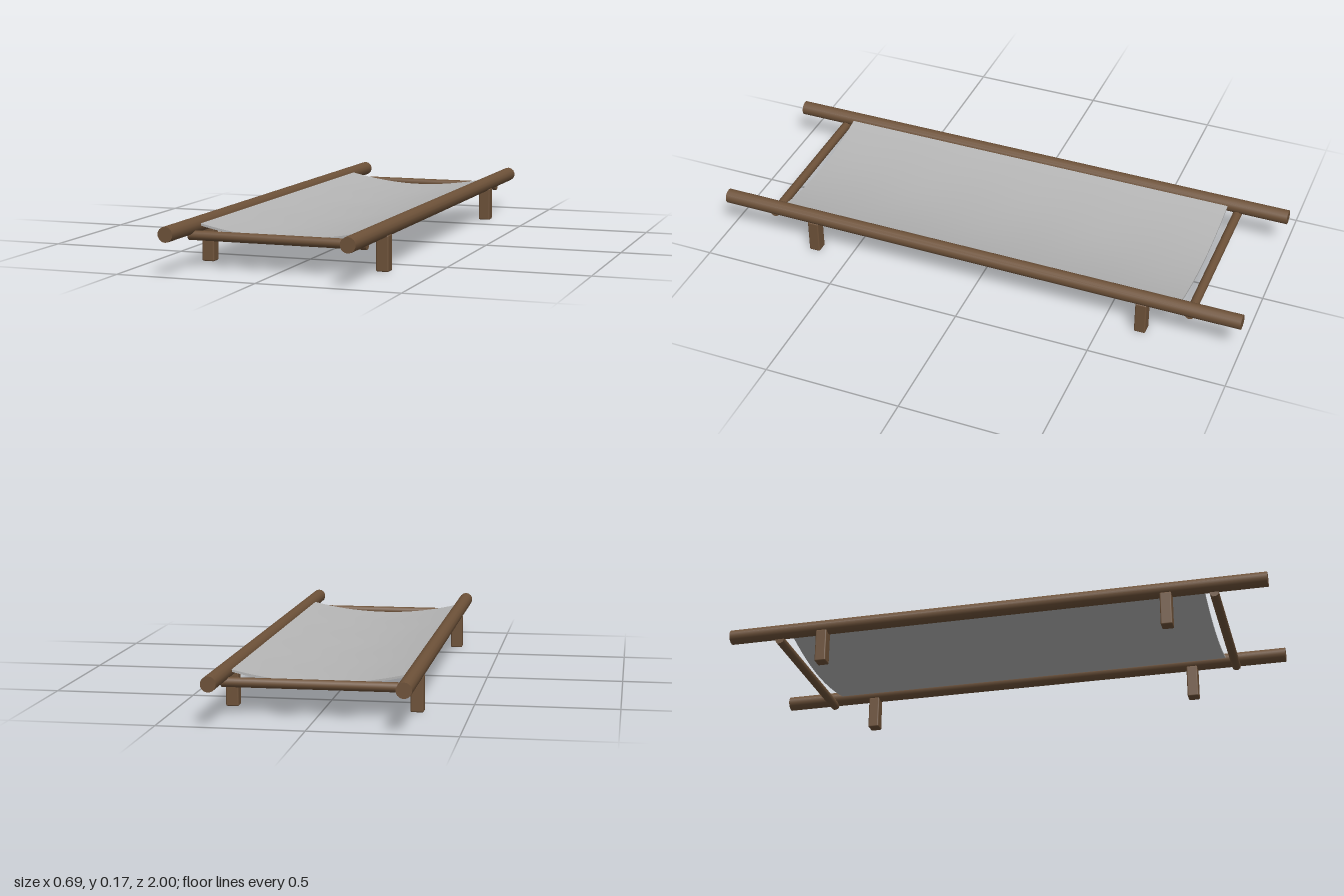
import * as THREE from 'three';
import { RoundedBoxGeometry } from 'three/addons/geometries/RoundedBoxGeometry.js';

export function createModel() {
  const group = new THREE.Group();
  group.name = 'stretcher';

  const wood = new THREE.MeshStandardMaterial({ color: 0x6e5239 });
  wood.name = 'brown wood';
  const canvas = new THREE.MeshStandardMaterial({ color: 0xb5b5b5 });
  canvas.name = 'grey canvas';

  const add = (name, geometry, material, x, y, z) => {
    const mesh = new THREE.Mesh(geometry, material);
    mesh.name = name;
    mesh.position.set(x, y, z);
    group.add(mesh);
  };

  // Two long carrying poles, each on two short square legs
  const pole = new THREE.CylinderGeometry(0.027, 0.027, 2, 14).rotateX(Math.PI / 2);
  const leg = new RoundedBoxGeometry(0.045, 0.126, 0.042, 2, 0.005);
  for (const [side, sx] of [['left', 1], ['right', -1]]) {
    add(`${side}Pole`, pole, wood, sx * 0.32, 0.143, 0);
    for (const [end, sz] of [['Front', 1], ['Back', -1]]) {
      add(`${side}${end}Leg`, leg, wood, sx * 0.32, 0.063, sz * 0.64);
    }
  }

  // Thin crossbars under the poles at both ends
  const bar = new THREE.CylinderGeometry(0.017, 0.017, 0.64, 10).rotateZ(Math.PI / 2);
  add('frontCrossbar', bar, wood, 0, 0.115, 0.81);
  add('backCrossbar', bar, wood, 0, 0.115, -0.81);

  // Canvas sheet: a thin slab sagging between the poles, with faint ripples
  const halfWidth = 0.3;
  const sheet = new THREE.BoxGeometry(halfWidth * 2, 0.008, 1.545, 24, 1, 40);
  const p = sheet.attributes.position;
  for (let i = 0; i < p.count; i++) {
    const x = p.getX(i), z = p.getZ(i);
    const slack = 1 - (x / halfWidth) ** 2;
    const ripple = 0.001 * Math.sin(z * 13 + x * 5) * Math.cos(x * 9 - z * 4);
    p.setY(i, p.getY(i) + 0.148 + slack * (ripple - 0.037));
  }
  sheet.computeVertexNormals();
  add('canvasSheet', sheet, canvas, 0, 0, 0);

  return group;
}
